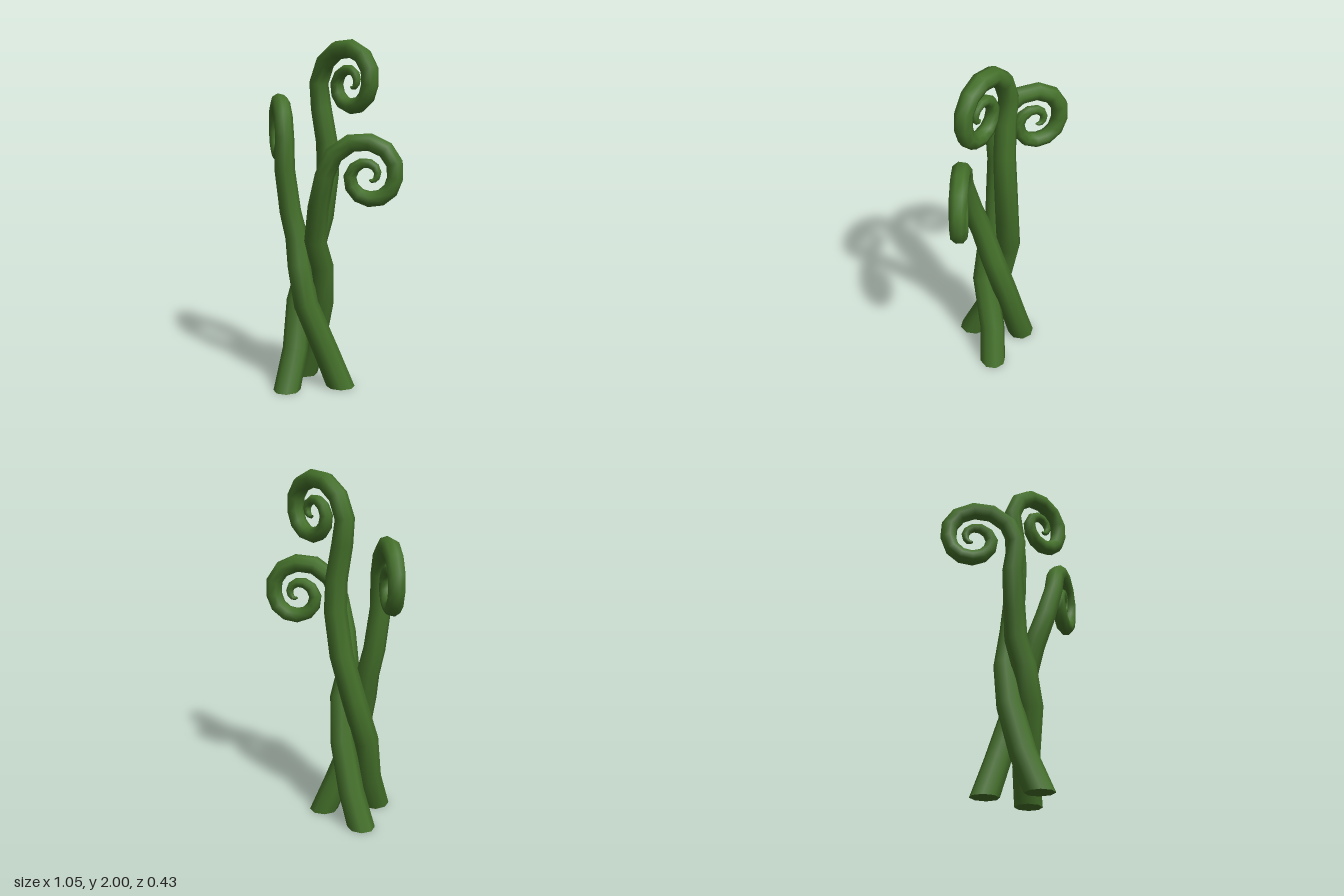
import * as THREE from 'three';

const SIDES = 8;
// Spiral radius and tube radius at each quarter turn of a curl
const SPIRAL = [0.25, 0.19, 0.14, 0.12, 0.108, 0.075, 0.04, 0.015];
const THICK = [0.054, 0.051, 0.047, 0.044, 0.036, 0.027, 0.019, 0.006];
const STEPS = 3; // rings per quarter turn

function sample(list, f) {
  const i = Math.min(Math.floor(f), list.length - 2);
  return THREE.MathUtils.lerp(list[i], list[i + 1], f - i);
}

// Tapered tube with exactly one ring at each path point, cut flat at the ground
function taperedTube(points, radii) {
  const path = new THREE.CatmullRomCurve3(points);
  path.getPointAt = (u, target) => path.getPoint(u, target);
  path.getTangentAt = (u, target) => path.getTangent(u, target);
  const rings = points.length - 1;
  const geo = new THREE.TubeGeometry(path, rings, 1, SIDES, false);
  const pos = geo.attributes.position;
  const v = new THREE.Vector3();
  const start = path.getTangent(0);
  for (let i = 0; i < pos.count; i++) {
    const ring = Math.floor(i / (SIDES + 1));
    v.fromBufferAttribute(pos, i).sub(points[ring]).multiplyScalar(radii[ring]).add(points[ring]);
    if (ring === 0) v.addScaledVector(start, -v.y / start.y);
    pos.setXYZ(i, v.x, v.y, v.z);
  }
  return geo;
}

// Flat underside that closes the foot of a stem
function footCap(tube) {
  const pos = tube.attributes.position;
  const outline = [];
  for (let i = 0; i < SIDES; i++) outline.push(new THREE.Vector2(pos.getX(i), pos.getZ(i)));
  return new THREE.ShapeGeometry(new THREE.Shape(outline)).rotateX(Math.PI / 2);
}

function fern(name, stem, centre, dir, material) {
  const points = stem.map((p) => new THREE.Vector3(...p));
  const radii = stem.map((p, i) => THREE.MathUtils.lerp(0.077, 0.056, i / stem.length));
  const across = new THREE.Vector3(...dir).normalize();
  // Curl winds inwards over the top, in the upright plane along "across"
  const count = (SPIRAL.length - 1) * STEPS;
  for (let i = 0; i <= count; i++) {
    const f = i / STEPS;
    const angle = Math.PI - f * Math.PI / 2;
    const r = sample(SPIRAL, f);
    const p = new THREE.Vector3(...centre).addScaledVector(across, r * Math.cos(angle));
    p.y += r * Math.sin(angle);
    points.push(p);
    radii.push(sample(THICK, f));
  }
  const group = new THREE.Group();
  group.name = name;
  const tube = taperedTube(points, radii);
  const stalk = new THREE.Mesh(tube, material);
  stalk.name = 'curledStalk';
  const foot = new THREE.Mesh(footCap(tube), material);
  foot.name = 'foot';
  group.add(stalk, foot);
  return group;
}

export function createModel() {
  const model = new THREE.Group();
  model.name = 'twistedFerns';
  const green = new THREE.MeshStandardMaterial({ color: 0x44702a, side: THREE.DoubleSide });

  // Three stems wind half a turn round each other before they curl
  model.add(
    fern('tallFern', [
      [-0.06, 0, 0.14], [-0.09, 0.22, 0.045], [-0.13, 0.49, -0.02], [-0.1, 0.75, -0.09],
      [-0.035, 1.0, -0.12], [0, 1.25, -0.13], [0, 1.43, -0.12], [-0.03, 1.62, -0.105],
    ], [0.2, 1.76, -0.105], [1, 0, 0], green),
    fern('leftFern', [
      [-0.2, 0, -0.13], [-0.12, 0.2, -0.13], [-0.03, 0.48, -0.11], [0.025, 0.72, -0.06],
      [0.03, 0.88, 0], [0.09, 1.08, 0.035],
    ], [0.36, 1.265, -0.088], [0.85, 0, -0.53], green),
    fern('rightFern', [
      [0.11, 0, -0.13], [0.045, 0.2, -0.08], [-0.02, 0.5, 0.025], [-0.07, 0.72, 0.03],
      [-0.115, 0.88, 0.01], [-0.145, 1.03, 0.03], [-0.175, 1.27, 0.045],
    ], [-0.365, 1.455, -0.085], [-0.82, 0, -0.57], green),
  );
  return model;
}
